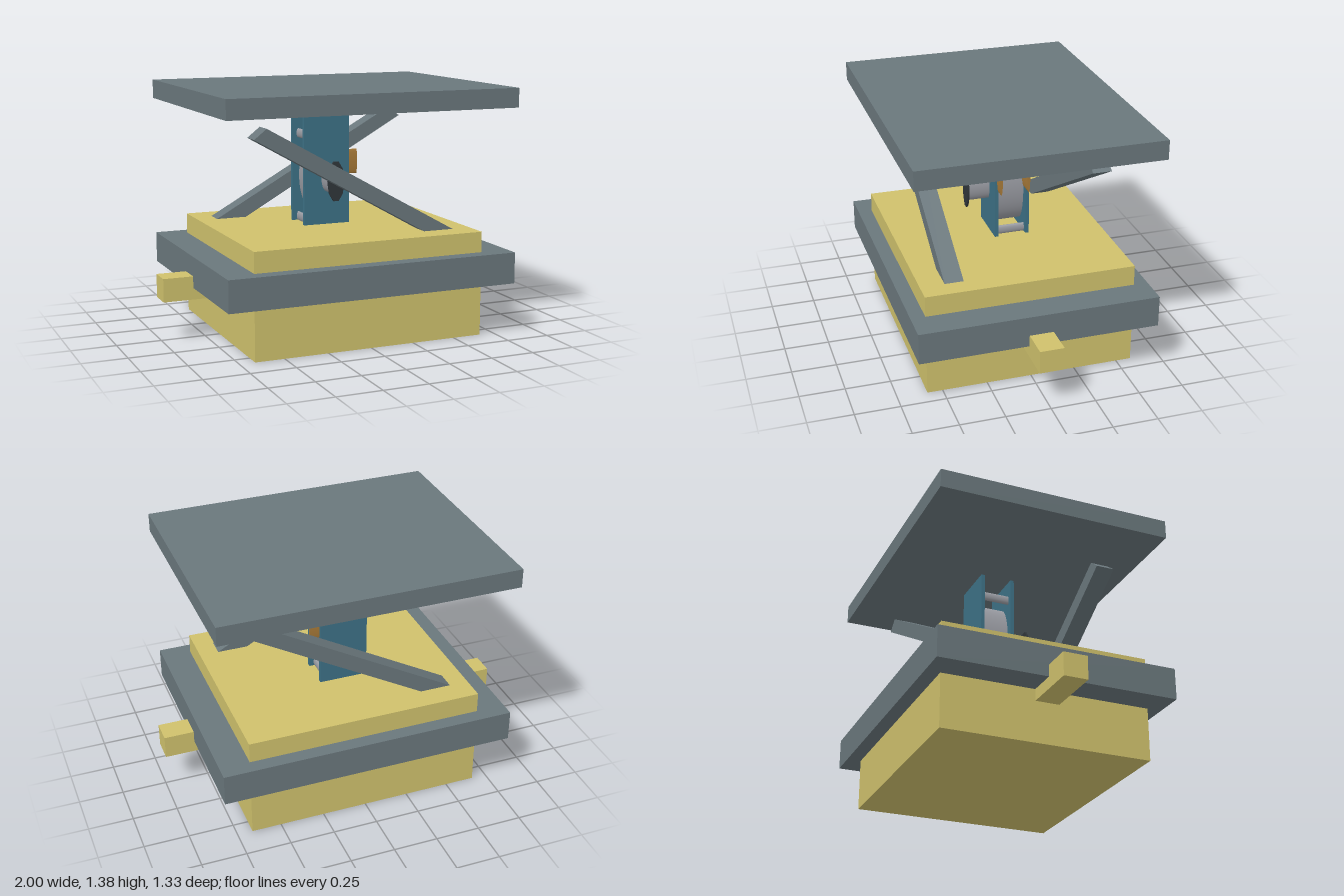
import * as THREE from 'three';

const mat = (color) => new THREE.MeshStandardMaterial({ color });

export function createModel() {
  const model = new THREE.Group();
  const slate = mat(0x6a777c), yellow = mat(0xcfc16c), blue = mat(0x3d7186);
  const grey = mat(0x9a9ca3), orange = mat(0xa87a38), dark = mat(0x30363a);

  const add = (parent, name, geometry, material) => {
    const mesh = new THREE.Mesh(geometry, material);
    mesh.name = name;
    parent.add(mesh);
    return mesh;
  };
  // Box given by its lower and upper corners
  const box = (parent, name, material, [x0, y0, z0], [x1, y1, z1]) =>
    add(parent, name, new THREE.BoxGeometry(x1 - x0, y1 - y0, z1 - z0)
      .translate((x0 + x1) / 2, (y0 + y1) / 2, (z0 + z1) / 2), material);
  // Elliptical cylinder along z
  const drum = (parent, name, material, x, y, z0, z1, rx, ry, sides = 40) =>
    add(parent, name, new THREE.CylinderGeometry(1, 1, z1 - z0, sides)
      .rotateY(Math.PI / sides).rotateX(Math.PI / 2).scale(rx, ry, 1)
      .translate(x, y, (z0 + z1) / 2), material);

  // Base block, collar, cross rod and top platform
  box(model, 'base', yellow, [-0.665, 0, -0.585], [0.665, 0.585, 0.585]);
  box(model, 'collar', slate, [-0.832, 0.295, -0.665], [0.832, 0.47, 0.665]);
  box(model, 'crossRod', yellow, [-1, 0.23, -0.067], [1, 0.36, 0.067]);
  box(model, 'topPlatform', slate, [-0.832, 1.27, -0.665], [0.832, 1.377, 0.665]);

  // Crossed braces: slanted bars with skewed ends, feet sunk in the base
  const brace = (name, side, z) => {
    const corners = [[-0.61, 1.14], [0.54, 0.495], [0.61, 0.555], [-0.54, 1.195]]
      .map(([x, y]) => new THREE.Vector2(side * x, y));
    const geometry = new THREE.ExtrudeGeometry(new THREE.Shape(corners),
      { depth: 0.105, bevelEnabled: false });
    add(model, name, geometry.translate(0, 0, z), slate);
  };
  brace('frontBrace', 1, 0.345);
  brace('backBrace', -1, -0.45);

  // Winding mechanism between two side plates
  const winder = new THREE.Group();
  winder.name = 'winder';
  model.add(winder);
  const cx = -0.027, cy = 0.847;
  for (const [name, z] of [['frontPlate', 0.015], ['backPlate', -0.165]])
    box(winder, name, blue, [-0.165, 0.58, z], [0.11, 1.205, z + 0.021]);
  drum(winder, 'wheel', grey, cx, cy, -0.145, 0.015, 0.097, 0.218);
  drum(winder, 'knobShaft', grey, cx, cy, 0.03, 0.16, 0.033, 0.075);
  drum(winder, 'knobCap', dark, cx, cy, 0.158, 0.169, 0.05, 0.116, 10);

  // Corner spacers
  for (const x of [-0.1, 0.1]) for (const y of [-0.238, 0.243])
    drum(winder, 'spacer', grey, cx + x, cy + y, -0.145, 0.015, 0.012, 0.026, 20);

  // Thin lugs along the inner faces of the plates
  for (const z of [0.015, -0.144])
    add(winder, 'lug', new THREE.CylinderGeometry(1, 1, 0.11, 32)
      .rotateZ(Math.PI / 2).scale(1, 0.07, 0.008).translate(0.11, 0.933, z), orange);

  return model;
}
